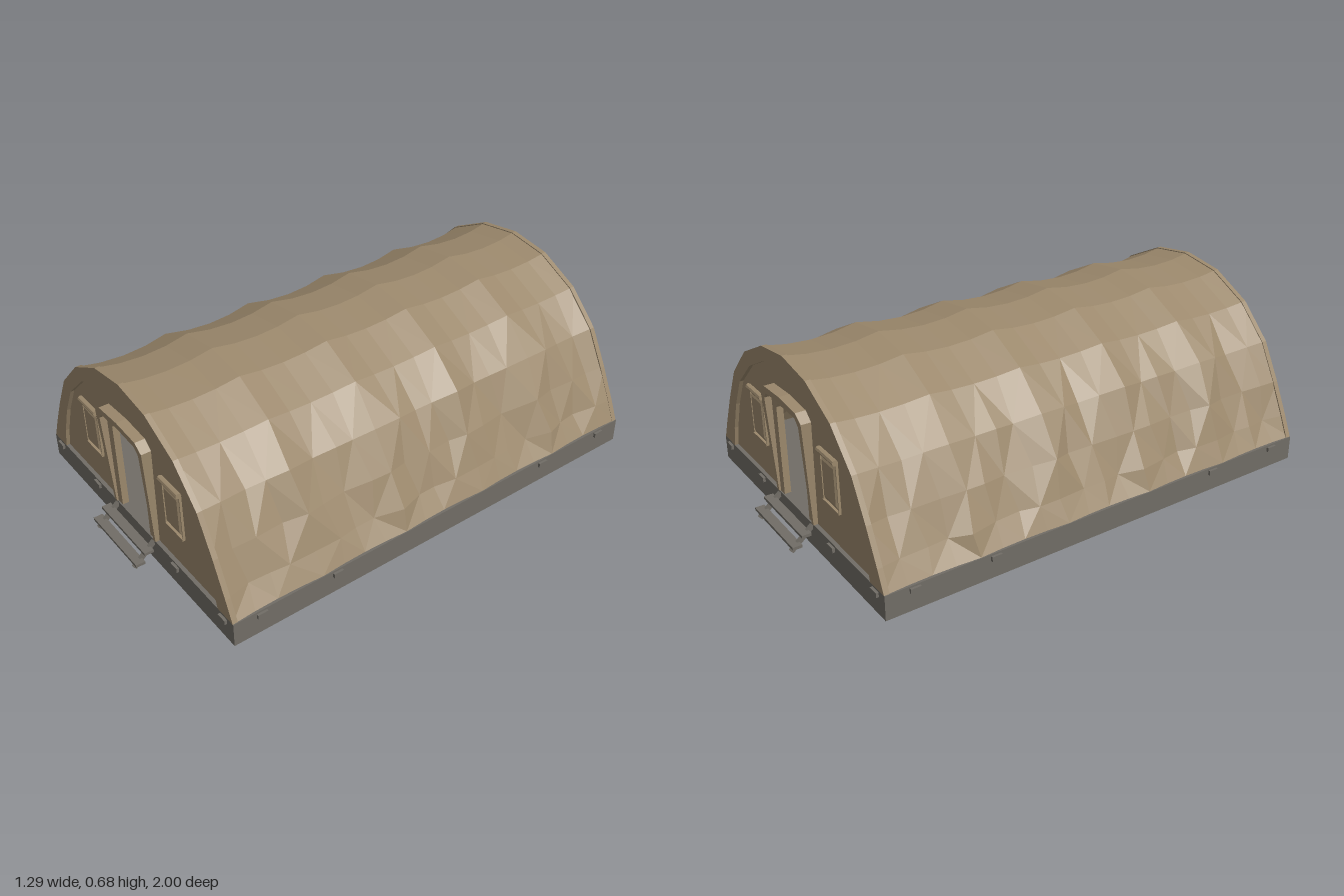
import * as THREE from 'three';

const fabric = new THREE.MeshStandardMaterial({ color: 0x9b886c, flatShading: true, side: THREE.DoubleSide });
fabric.name = 'tan canvas';
const deck = new THREE.MeshStandardMaterial({ color: 0x716d66, flatShading: true });
deck.name = 'grey deck';

const FLOOR = 0.095, END = 0.91;
// Half arches, ground to crown
const OUTER = [[0.635, FLOOR], [0.6, 0.175], [0.54, 0.3], [0.462, 0.443], [0.335, 0.57], [0.17, 0.653], [0, 0.678]];
const INNER = [[0.545, FLOOR], [0.525, 0.18], [0.48, 0.3], [0.415, 0.42], [0.3, 0.527], [0.155, 0.602], [0, 0.625]];

// Full outline from a half one, right ground point to left ground point
const mirror = (half) => [...half, ...half.filter((p) => p[0] > 0).reverse().map(([x, y]) => [-x, y])];

function mesh(name, geometry, material, x = 0, y = 0, z = 0) {
  const m = new THREE.Mesh(geometry, material);
  m.name = name;
  m.position.set(x, y, z);
  return m;
}

const box = (name, w, h, d, material, x, y, z) => mesh(name, new THREE.BoxGeometry(w, h, d), material, x, y, z);

// Flat plate between an outer and an inner outline that are both open at the ground
function band(outerHalf, innerHalf, depth) {
  const pts = [...mirror(outerHalf), ...mirror(innerHalf).reverse()];
  const shape = new THREE.Shape(pts.map(([x, y]) => new THREE.Vector2(x, y)));
  return new THREE.ExtrudeGeometry(shape, { depth, bevelEnabled: false });
}

// Canvas roof: arches lofted along z, sagging between ribs, creased on the flanks
function roofGeometry() {
  const arch = mirror(OUTER), bays = 5, perBay = 4, n = bays * perBay;
  const sag = [0, 0.75, 1, 0.75], pos = [], idx = [];
  for (let i = 0; i <= n; i++) {
    const s = sag[i % perBay];
    arch.forEach(([x, y], j) => {
      const k = Math.min(j, arch.length - 1 - j);
      const flank = k > 0 && k < 4 ? 1 : 0;
      const inside = i > 0 && i < n ? 1 : 0;
      const crease = inside * flank * 0.008 * Math.sin(i * 2.3 + k * 1.9 + (x < 0 ? 1.1 : 0));
      const scale = 1 - s * (k === 0 ? 0.012 : 0.036) + crease / 0.5;
      const z = END - (2 * END * i) / n + inside * flank * 0.014 * Math.sin(i * 1.7 + k * 2.6);
      pos.push(x * scale, FLOOR + (y - FLOOR) * scale, z);
    });
  }
  const w = arch.length;
  for (let i = 0; i < n; i++) {
    for (let j = 0; j < w - 1; j++) {
      const a = i * w + j, b = a + 1, c = a + w, d = c + 1;
      if ((i + j) % 2) idx.push(a, c, b, b, c, d);
      else idx.push(a, c, d, a, d, b);
    }
  }
  const g = new THREE.BufferGeometry();
  g.setAttribute('position', new THREE.Float32BufferAttribute(pos, 3));
  g.setIndex(idx);
  g.computeVertexNormals();
  return g;
}

// Rolled-up window flap over a shallow raised panel
function makeWindow(x) {
  const g = new THREE.Group();
  g.name = 'window';
  const panel = new THREE.CylinderGeometry(Math.SQRT1_2 * 0.72, Math.SQRT1_2, 1, 4, 1);
  panel.rotateY(Math.PI / 4);
  panel.rotateX(Math.PI / 2);
  panel.scale(0.115, 0.19, 0.012);
  g.add(mesh('windowPanel', panel, fabric, 0, 0.33, 0.9));
  const roll = new THREE.CylinderGeometry(0.011, 0.011, 0.12, 8);
  roll.rotateZ(Math.PI / 2);
  g.add(mesh('rolledFlap', roll, fabric, 0, 0.43, 0.906));
  g.add(box('windowSill', 0.115, 0.007, 0.012, fabric, 0, 0.237, 0.9));
  for (const s of [-1, 1]) g.add(box('windowEdge', 0.004, 0.19, 0.01, fabric, s * 0.056, 0.332, 0.899));
  g.position.x = x;
  return g;
}

function makeDoorway() {
  const g = new THREE.Group();
  g.name = 'doorway';
  const opening = [[0.1, FLOOR], [0.1, 0.445], [0.085, 0.465], [0, 0.465]];
  const jamb = [[0.132, FLOOR], [0.135, 0.475], [0.115, 0.5], [0, 0.508]];
  const hood = [[0.147, FLOOR], [0.16, 0.495], [0.125, 0.525], [0, 0.533]];
  g.add(mesh('doorJamb', band(jamb, opening, 0.025), fabric, 0, 0, 0.88));
  // Hood leans outward towards the top
  const hoodGeo = band(hood, jamb, 0.03);
  const p = hoodGeo.attributes.position;
  for (let i = 0; i < p.count; i++) {
    if (p.getZ(i) > 0.01) p.setZ(i, p.getZ(i) + (0.022 * (p.getY(i) - FLOOR)) / 0.43);
  }
  hoodGeo.computeVertexNormals();
  g.add(mesh('doorHood', hoodGeo, fabric, 0, 0, 0.882));
  return g;
}

function makeSteps() {
  const g = new THREE.Group();
  g.name = 'steps';
  for (const s of [-1, 1]) {
    const stringer = box('stepStringer', 0.012, 0.018, 0.115, deck, s * 0.13, 0.05, 0.952);
    stringer.rotation.x = 0.72;
    g.add(stringer);
  }
  g.add(box('upperTread', 0.315, 0.011, 0.036, deck, 0, 0.071, 0.945));
  g.add(box('lowerTread', 0.315, 0.011, 0.036, deck, 0, 0.037, 0.982));
  return g;
}

// Gable end with arch, wall, doorway, windows and steps
function makeEnd(name) {
  const g = new THREE.Group();
  g.name = name;
  const doorCut = [[0.125, FLOOR], [0.125, 0.49], [0, 0.49]];
  g.add(mesh('endArch', band(OUTER, INNER, 0.02), fabric, 0, 0, END - 0.02));
  g.add(mesh('endWall', band(INNER, doorCut, 0.01), fabric, 0, 0, 0.885));
  g.add(makeDoorway(), makeWindow(0.283), makeWindow(-0.283), makeSteps());
  for (const x of [-0.58, -0.28, 0.28, 0.58]) g.add(box('endBracket', 0.04, 0.018, 0.02, deck, x, 0.079, 0.91));
  return g;
}

export function createModel() {
  const model = new THREE.Group();
  model.name = 'archedTent';
  model.add(box('platform', 1.276, FLOOR, 1.82, deck, 0, FLOOR / 2, 0));
  model.add(mesh('canvasRoof', roofGeometry(), fabric));
  const back = makeEnd('backEnd');
  back.rotation.y = Math.PI;
  model.add(makeEnd('frontEnd'), back);
  // Tie-down brackets along the long sides
  for (const s of [-1, 1]) {
    for (const z of [-0.8, -0.49, 0.49, 0.8]) model.add(box('sideBracket', 0.02, 0.018, 0.04, deck, s * 0.637, 0.079, z));
  }
  return model;
}
